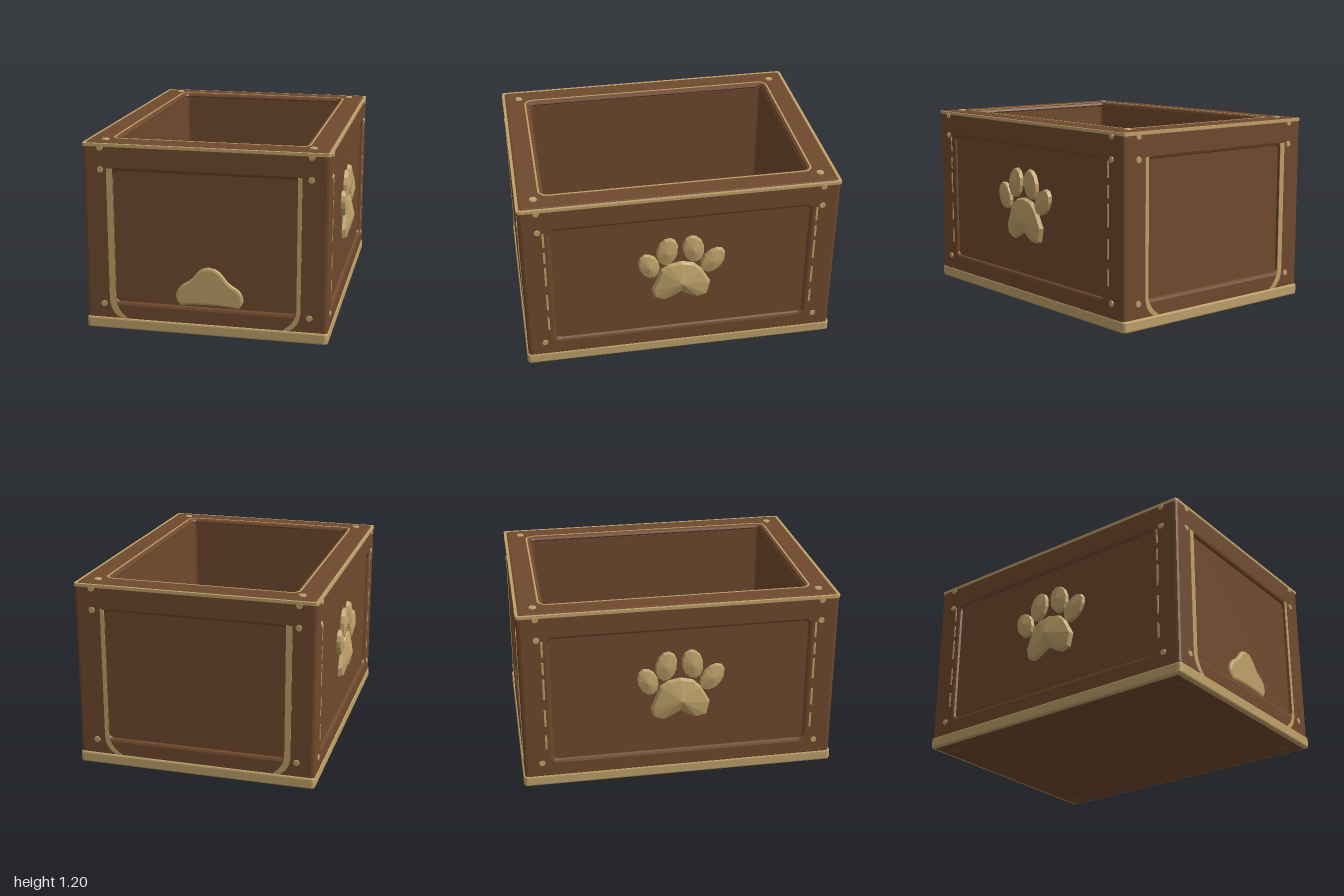
import * as THREE from 'three';

const brown = new THREE.MeshStandardMaterial({ color: 0x70492d });
brown.name = 'brown wood';
const gold = new THREE.MeshStandardMaterial({ color: 0xbfa169, flatShading: true });
gold.name = 'worn gold';

const add = (parent, name, geometry, material, x = 0, y = 0, z = 0) => {
  const mesh = new THREE.Mesh(geometry, material);
  mesh.name = name;
  mesh.position.set(x, y, z);
  parent.add(mesh);
  return mesh;
};

// Rounded rectangle outline between two corners
function roundRect(x0, y0, x1, y1, r, Type = THREE.Shape) {
  const s = new Type();
  s.absarc(x1 - r, y0 + r, r, -Math.PI / 2, 0);
  s.absarc(x1 - r, y1 - r, r, 0, Math.PI / 2);
  s.absarc(x0 + r, y1 - r, r, Math.PI / 2, Math.PI);
  s.absarc(x0 + r, y0 + r, r, Math.PI, Math.PI * 1.5);
  s.closePath();
  return s;
}

function extrude(shape, depth, bevel = 0, thickness = 0) {
  return new THREE.ExtrudeGeometry(shape, {
    depth, curveSegments: 6, bevelEnabled: bevel > 0,
    bevelSize: bevel, bevelThickness: thickness, bevelSegments: 2,
  });
}

// Horizontal ring: half sizes of the outside and of the hole
function ring(ox, oz, ro, ix, iz, ri, depth, bevel = 0, thickness = 0) {
  const s = roundRect(-ox, -oz, ox, oz, ro);
  s.holes.push(roundRect(-ix, -iz, ix, iz, ri, THREE.Path));
  return extrude(s, depth, bevel, thickness).rotateX(-Math.PI / 2);
}

// Faceted pad: an outline with a short rim rising to one central point
function padGeometry(outline, cx, cy, rim, peak) {
  const pos = [];
  const n = outline.length;
  for (let i = 0; i < n; i++) {
    const [ax, ay] = outline[i], [bx, by] = outline[(i + 1) % n];
    const inset = (x, y) => [cx + (x - cx) * 0.92, cy + (y - cy) * 0.92, rim];
    const a = inset(ax, ay), b = inset(bx, by);
    pos.push(ax, ay, 0, bx, by, 0, ...b, ax, ay, 0, ...b, ...a);
    pos.push(...a, ...b, cx, cy, peak);
  }
  const g = new THREE.BufferGeometry();
  g.setAttribute('position', new THREE.Float32BufferAttribute(pos, 3));
  g.computeVertexNormals();
  return g;
}

function ellipse(cx, cy, rx, ry, tilt, n = 12) {
  return Array.from({ length: n }, (_, i) => {
    const t = (i / n) * Math.PI * 2;
    const x = Math.cos(t) * rx, y = Math.sin(t) * ry;
    return [cx + x * Math.cos(tilt) - y * Math.sin(tilt), cy + x * Math.sin(tilt) + y * Math.cos(tilt)];
  });
}

function pawPrint() {
  const paw = new THREE.Group();
  paw.name = 'pawPrint';
  const palm = [[-0.19, 0.5], [-0.175, 0.44], [-0.12, 0.415], [-0.06, 0.44], [0, 0.475], [0.06, 0.435],
    [0.11, 0.415], [0.17, 0.43], [0.19, 0.52], [0.13, 0.63], [0.08, 0.68], [0, 0.7],
    [-0.08, 0.685], [-0.13, 0.65], [-0.16, 0.57]];
  if (THREE.ShapeUtils.area(palm.map(([x, y]) => new THREE.Vector2(x, y))) < 0) palm.reverse();
  add(paw, 'palmPad', padGeometry(palm, 0, 0.56, 0.025, 0.063), gold);
  for (const [x, y, rx, ry, tilt] of [[-0.205, 0.69, 0.064, 0.092, 0.35], [-0.09, 0.787, 0.068, 0.1, -0.2],
    [0.075, 0.79, 0.068, 0.1, 0.2], [0.2, 0.692, 0.066, 0.1, -0.65]]) {
    add(paw, 'toePad', padGeometry(ellipse(x, y, rx, ry, tilt), x, y, 0.025, 0.043), gold);
  }
  return paw;
}

// Low rounded cushion at the foot of the front panel
function frontPad() {
  const s = new THREE.Shape();
  s.moveTo(-0.15, 0.215);
  s.bezierCurveTo(-0.19, 0.24, -0.17, 0.3, -0.12, 0.33);
  s.bezierCurveTo(-0.05, 0.36, -0.05, 0.43, 0.02, 0.435);
  s.bezierCurveTo(0.1, 0.435, 0.1, 0.36, 0.16, 0.33);
  s.bezierCurveTo(0.23, 0.3, 0.23, 0.24, 0.2, 0.215);
  s.quadraticCurveTo(0.02, 0.235, -0.15, 0.215);
  return extrude(s, 0.004, 0.016, 0.016);
}

// Worn upright strip that curls inwards at its foot
function strip(side, x, w) {
  const s = new THREE.Shape();
  s.moveTo(side * x, 1.04);
  s.lineTo(side * x, 0.22);
  s.quadraticCurveTo(side * x, 0.13, side * (x - 0.07), 0.09);
  s.lineTo(side * (x - 0.11), 0.09);
  s.quadraticCurveTo(side * (x - w), 0.15, side * (x - w), 0.22);
  s.lineTo(side * (x - w), 1.04);
  return extrude(s, 0.003);
}

// One outer face, local +z pointing outwards; half is its half width
function wallFace(name, half, angle, distance) {
  const face = new THREE.Group();
  face.name = name;
  face.rotation.y = angle;
  const frame = roundRect(-half + 0.02, 0.04, half - 0.02, 1.17, 0.01);
  const inner = half - 0.165;
  frame.holes.push(roundRect(-inner, 0.175, inner, 1.045, 0.05, THREE.Path));
  add(face, 'panelFrame', extrude(frame, 0, 0.02, 0.02), brown, 0, 0, distance - 0.02);
  const rivet = new THREE.CylinderGeometry(0.018, 0.022, 0.012, 10).rotateX(Math.PI / 2);
  for (const side of [-1, 1]) {
    for (const y of [0.18, 1.03, 1.165]) {
      add(face, 'rivet', rivet, gold, side * (half - 0.11), y, distance);
    }
  }
  return face;
}

export function createModel() {
  const model = new THREE.Group();
  model.name = 'storageCrate';

  // Box walls, floor and rim
  add(model, 'walls', ring(0.73, 0.97, 0.01, 0.575, 0.82, 0.03, 1.14), brown, 0, 0.025, 0);
  add(model, 'floor', new THREE.BoxGeometry(1.2, 0.08, 1.7), brown, 0, 0.066, 0);
  add(model, 'underside', new THREE.BoxGeometry(1.46, 0.02, 1.94), brown, 0, 0.025, 0);
  add(model, 'rim', ring(0.725, 0.965, 0.02, 0.597, 0.84, 0.05, 0, 0.022, 0.02), brown, 0, 1.175, 0);
  add(model, 'rimTrim', ring(0.753, 0.995, 0.02, 0.735, 0.977, 0.015, 0.018), gold, 0, 1.173, 0);
  add(model, 'openingTrim', ring(0.609, 0.852, 0.06, 0.598, 0.841, 0.05, 0.003), gold, 0, 1.194, 0);
  add(model, 'baseTrim', ring(0.745, 0.99, 0.015, 0.725, 0.97, 0.01, 0.05, 0.01, 0.01), gold, 0, 0.03, 0);

  // Rivets on the rim and studs underneath
  const stud = new THREE.CylinderGeometry(0.022, 0.026, 0.01, 10);
  const foot = new THREE.CylinderGeometry(0.04, 0.022, 0.02, 10);
  for (const x of [-0.635, 0.635]) {
    for (const z of [-0.885, 0.885]) {
      add(model, 'rimRivet', stud, gold, x, 1.197, z);
      add(model, 'foot', foot, brown, x, 0.01, z);
    }
  }

  // Ends, with a wide strip on one edge and a narrow one on the other
  for (const [name, angle, wide] of [['frontFace', 0, -1], ['backFace', Math.PI, 1]]) {
    const face = wallFace(name, 0.75, angle, 0.99);
    add(face, 'wideStrip', strip(wide, 0.603, 0.038), gold, 0, 0, 0.99);
    add(face, 'narrowStrip', strip(-wide, 0.587, 0.025), gold, 0, 0, 0.99);
    if (name === 'frontFace') add(face, 'frontPad', frontPad(), gold, 0, 0, 0.966);
    model.add(face);
  }

  // Long sides, with paw prints and broken worn lines
  for (const [name, angle] of [['leftFace', Math.PI / 2], ['rightFace', -Math.PI / 2]]) {
    const face = wallFace(name, 0.99, angle, 0.75);
    const paw = pawPrint();
    paw.position.z = 0.729;
    face.add(paw);
    for (const side of [-1, 1]) {
      for (const [y, h] of [[0.33, 0.1], [0.5, 0.12], [0.7, 0.14], [0.84, 0.08], [0.97, 0.1]]) {
        add(face, 'wornLine', new THREE.BoxGeometry(0.013, h, 0.006), gold, side * 0.848, y, 0.75);
      }
    }
    model.add(face);
  }
  return model;
}
